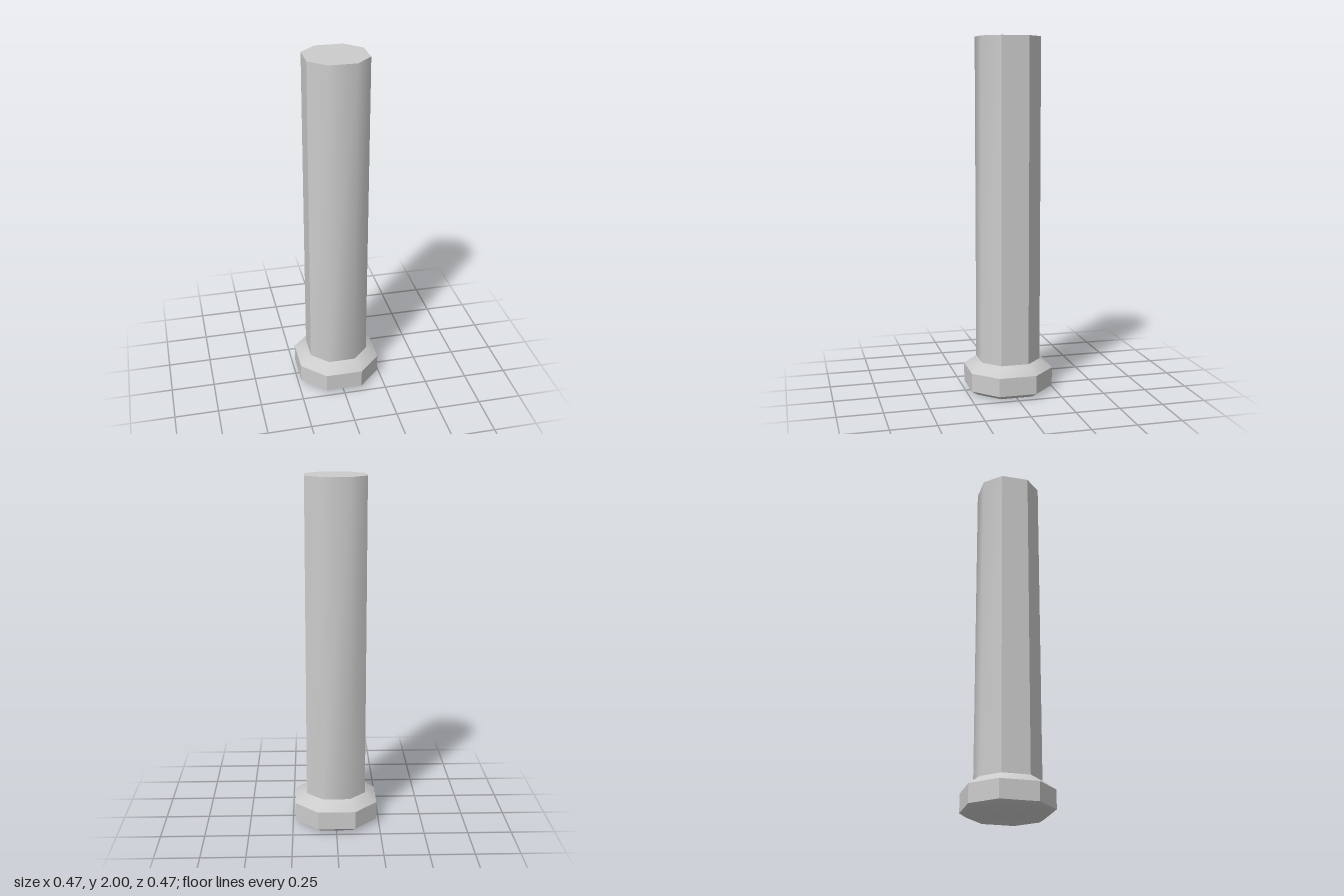
import * as THREE from 'three';
import { toCreasedNormals } from 'three/addons/utils/BufferGeometryUtils.js';

// Eight corners of a square with cut corners, running from the front face towards +x.
// w: half width, a: half length of front/back sides, b: half length of left/right sides
const ring = (y, w, a, b) =>
  [[-a, w], [a, w], [w, b], [w, -b], [a, -w], [-a, -w], [-w, -b], [-w, b]]
    .map(([x, z]) => [x, y, z]);

// Skin over rings from bottom to top, with optional end caps
function loft(rings, crease, { bottom = false, top = false }) {
  const pos = [];
  const tri = (...points) => points.forEach((p) => pos.push(...p));
  const first = rings[0], last = rings[rings.length - 1];
  for (let i = 0; i < 8; i++) {
    const j = (i + 1) % 8;
    for (let k = 0; k < rings.length - 1; k++) {
      const lo = rings[k], hi = rings[k + 1];
      tri(lo[i], lo[j], hi[j]);
      tri(lo[i], hi[j], hi[i]);
    }
    if (bottom) tri([0, first[0][1], 0], first[j], first[i]);
    if (top) tri([0, last[0][1], 0], last[i], last[j]);
  }
  const geo = new THREE.BufferGeometry();
  geo.setAttribute('position', new THREE.Float32BufferAttribute(pos, 3));
  return toCreasedNormals(geo, THREE.MathUtils.degToRad(crease));
}

export function createModel() {
  const group = new THREE.Group();
  group.name = 'octagonalPost';
  const material = new THREE.MeshStandardMaterial({ color: 0xcccccc });
  const add = (name, geometry) => {
    const mesh = new THREE.Mesh(geometry, material);
    mesh.name = name;
    group.add(mesh);
  };

  // Shaft: edges beside the front and back faces are soft, those beside the left and right are sharp
  add('shaft', loft([ring(0.18, 0.169, 0.077, 0.078), ring(2, 0.169, 0.077, 0.078)], 45, { top: true }));

  // Foot collar: chamfered bottom, upright band, sloped shoulder
  add('footCollar', loft([
    ring(0, 0.2, 0.09, 0.09),
    ring(0.025, 0.235, 0.106, 0.106),
    ring(0.13, 0.235, 0.106, 0.106),
    ring(0.18, 0.169, 0.077, 0.078),
  ], 44, { bottom: true }));

  return group;
}
